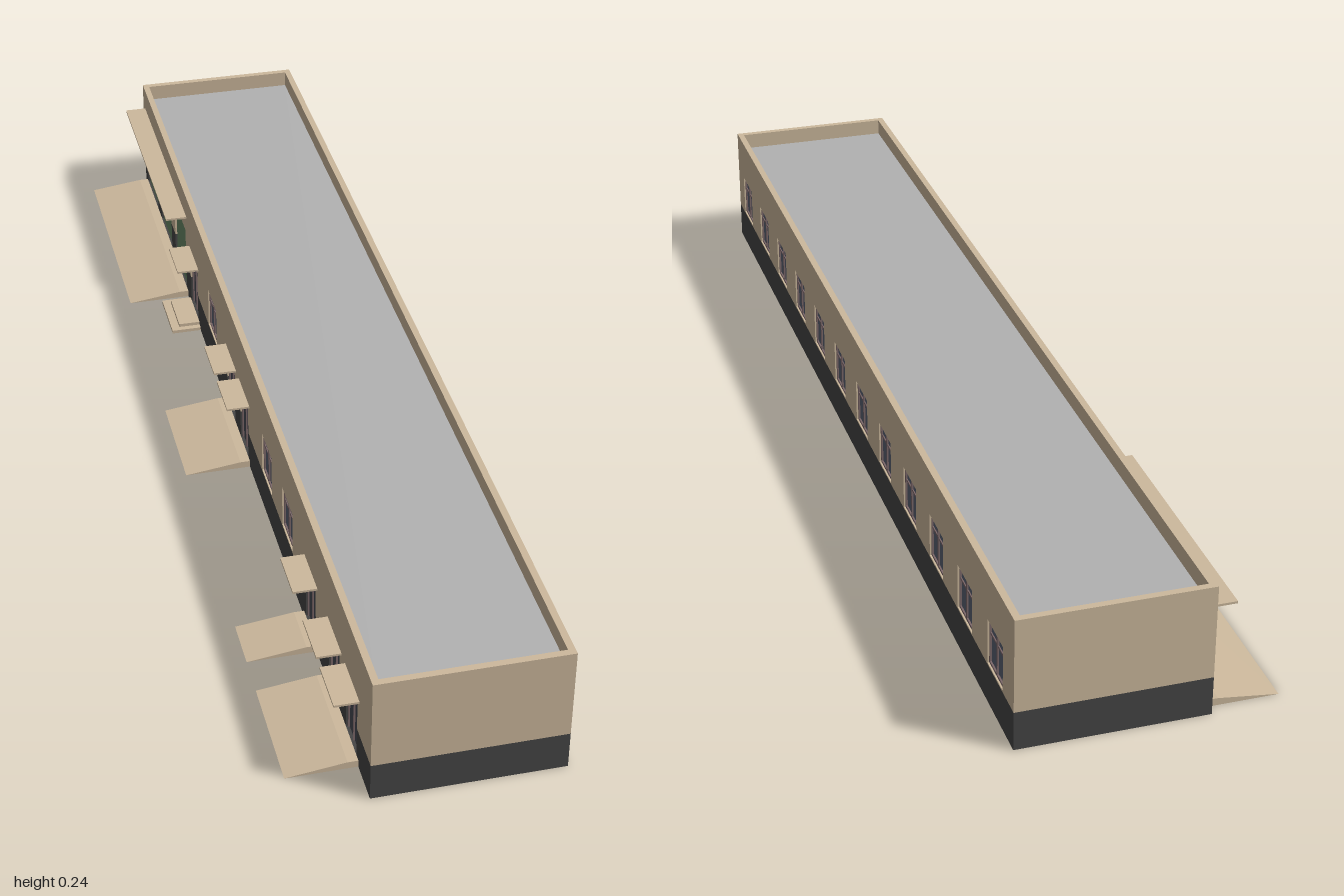
import * as THREE from 'three';

const mat = (color, side = THREE.FrontSide) => new THREE.MeshStandardMaterial({ color, side });
const plaster = mat(0xcdb99d), plinthMat = mat(0x464646), roofMat = mat(0xb2b2b2);
const glass = mat(0x5b6172), frameMat = mat(0x7c686a), green = mat(0x6a8a68), doorMat = mat(0x484a54);

// Main dimensions
const X0 = -0.103, X1 = 0.225, H = 0.238, PLINTH = 0.07, T = 0.012;
const ROOF = 0.207, STEP = 0.013, RECESS = 0.006, TIP = -0.225;

// Box given by its limits on each axis
function block(parent, name, material, x0, x1, y0, y1, z0, z1) {
  const mesh = new THREE.Mesh(new THREE.BoxGeometry(Math.abs(x1 - x0), y1 - y0, z1 - z0), material);
  mesh.position.set((x0 + x1) / 2, (y0 + y1) / 2, (z0 + z1) / 2);
  mesh.name = name;
  parent.add(mesh);
  return mesh;
}

// Piece of wall, split into dark plinth and plaster where it crosses the plinth line
function wallPiece(parent, x0, x1, y0, y1, z0, z1) {
  if (y0 < PLINTH) block(parent, 'plinth', plinthMat, x0, x1, y0, Math.min(y1, PLINTH), z0, z1);
  if (y1 > PLINTH) block(parent, 'wall', plaster, x0, x1, Math.max(y0, PLINTH), y1, z0, z1);
}

// Long wall with rectangular openings; out is the outward x direction
function longWall(name, face, out, openings) {
  const group = new THREE.Group();
  group.name = name;
  const inner = face - out * T;
  let z = -1;
  for (const o of [...openings].sort((a, b) => a.z - b.z)) {
    const a = o.z - o.w / 2, b = o.z + o.w / 2;
    wallPiece(group, face, inner, 0, H, z, a);
    wallPiece(group, face, inner, 0, o.y0, a, b);
    wallPiece(group, face, inner, o.y1, H, a, b);
    group.add(o.fill(face - out * RECESS, out, a, b, o.y0, o.y1));
    z = b;
  }
  wallPiece(group, face, inner, 0, H, z, 1);
  return group;
}

// Frame bars around a recessed panel
function frame(group, x, out, a, b, y0, y1, w) {
  const p = x + out * 0.003;
  block(group, 'frameSide', frameMat, x, p, y0, y1, a, a + w);
  block(group, 'frameSide', frameMat, x, p, y0, y1, b - w, b);
  block(group, 'frameTop', frameMat, x, p, y1 - w, y1, a + w, b - w);
  return p;
}

function windowFill(x, out, a, b, y0, y1) {
  const g = new THREE.Group(), w = 0.004, m = (a + b) / 2, t = y0 + (y1 - y0) * 0.7;
  g.name = 'window';
  block(g, 'glass', glass, x - out * 0.004, x, y0, y1, a, b);
  const p = frame(g, x, out, a, b, y0, y1, w);
  block(g, 'frameBottom', frameMat, x, p, y0, y0 + w, a + w, b - w);
  block(g, 'mullion', frameMat, x, p, y0 + w, y1 - w, m - w / 2, m + w / 2);
  block(g, 'transom', frameMat, x, x + out * 0.002, t - w / 2, t + w / 2, a + w, b - w);
  return g;
}

function doorFill(x, out, a, b, y0, y1) {
  const g = new THREE.Group(), m = (a + b) / 2;
  g.name = 'door';
  block(g, 'doorLeaf', doorMat, x - out * 0.004, x, y0, y1, a, b);
  const p = frame(g, x, out, a, b, y0, y1, 0.003);
  block(g, 'doorSplit', frameMat, x, p, y0, y1 - 0.003, m - 0.001, m + 0.001);
  return g;
}

function gateFill(x, out, a, b, y0, y1) {
  const g = new THREE.Group();
  g.name = 'garageDoor';
  block(g, 'garagePanel', green, x - out * 0.004, x + out * 0.002, y0, y1, a, b);
  return g;
}

// Wedge ramp with a short level landing at the wall
function ramp(z0, z1) {
  const s = new THREE.Shape();
  s.moveTo(TIP, 0);
  s.lineTo(X0, 0);
  s.lineTo(X0, STEP);
  s.lineTo(X0 - 0.018, STEP);
  s.closePath();
  const mesh = new THREE.Mesh(new THREE.ExtrudeGeometry(s, { depth: z1 - z0, bevelEnabled: false }), plaster);
  mesh.position.z = z0;
  mesh.name = 'ramp';
  return mesh;
}

const canopy = (parent, y, z0, z1) =>
  block(parent, 'canopy', plaster, X0 - 0.042, X0, y, y + 0.004, z0, z1);

export function createModel() {
  const model = new THREE.Group();
  model.name = 'longBuilding';

  // Window positions share one rhythm on both long sides
  const win = (k) => ({ z: 0.911 - 0.165 * k, w: 0.08, y0: 0.073, y1: 0.154, fill: windowFill });
  const door = (z) => ({ z, w: 0.07, y0: STEP, y1: 0.128, fill: doorFill });
  const gate = (z) => ({ z, w: 0.122, y0: STEP, y1: 0.152, fill: gateFill });

  // Long walls
  const doors = [-0.432, -0.065, 0.055, 0.593, 0.76, 0.878];
  const gates = [-0.909, -0.745, -0.58];
  model.add(longWall('windowWall', X1, 1, Array.from({ length: 12 }, (_, k) => win(k))));
  model.add(longWall('entranceWall', X0, -1, [...[3, 4, 7].map(win), ...doors.map(door), ...gates.map(gate)]));

  // End walls
  for (const s of [-1, 1]) {
    const z0 = Math.min(s, s * (1 - T)), z1 = Math.max(s, s * (1 - T));
    wallPiece(model, X0 + T, X1 - T, 0, H, z0, z1);
  }

  // Sunken roof and floor
  block(model, 'roof', roofMat, X0 + T, X1 - T, ROOF - 0.01, ROOF, -1 + T, 1 - T);
  block(model, 'floor', plaster, X0 + T, X1 - T, 0.001, 0.01, -1 + T, 1 - T);

  // Canopies over the garage and the doors
  canopy(model, 0.187, -0.98, -0.505);
  for (const z of doors) canopy(model, 0.134, z - 0.047, z + 0.047);

  // Ramps
  for (const [a, b] of [[-0.98, -0.505], [-0.112, 0.102], [0.546, 0.64], [0.713, 0.926]]) model.add(ramp(a, b));

  // Steps at the side door
  block(model, 'lowerStep', plaster, X0 - 0.058, X0, 0, 0.0065, -0.49, -0.374);
  block(model, 'upperStep', plaster, X0 - 0.042, X0, 0.0065, STEP, -0.479, -0.385);

  return model;
}
